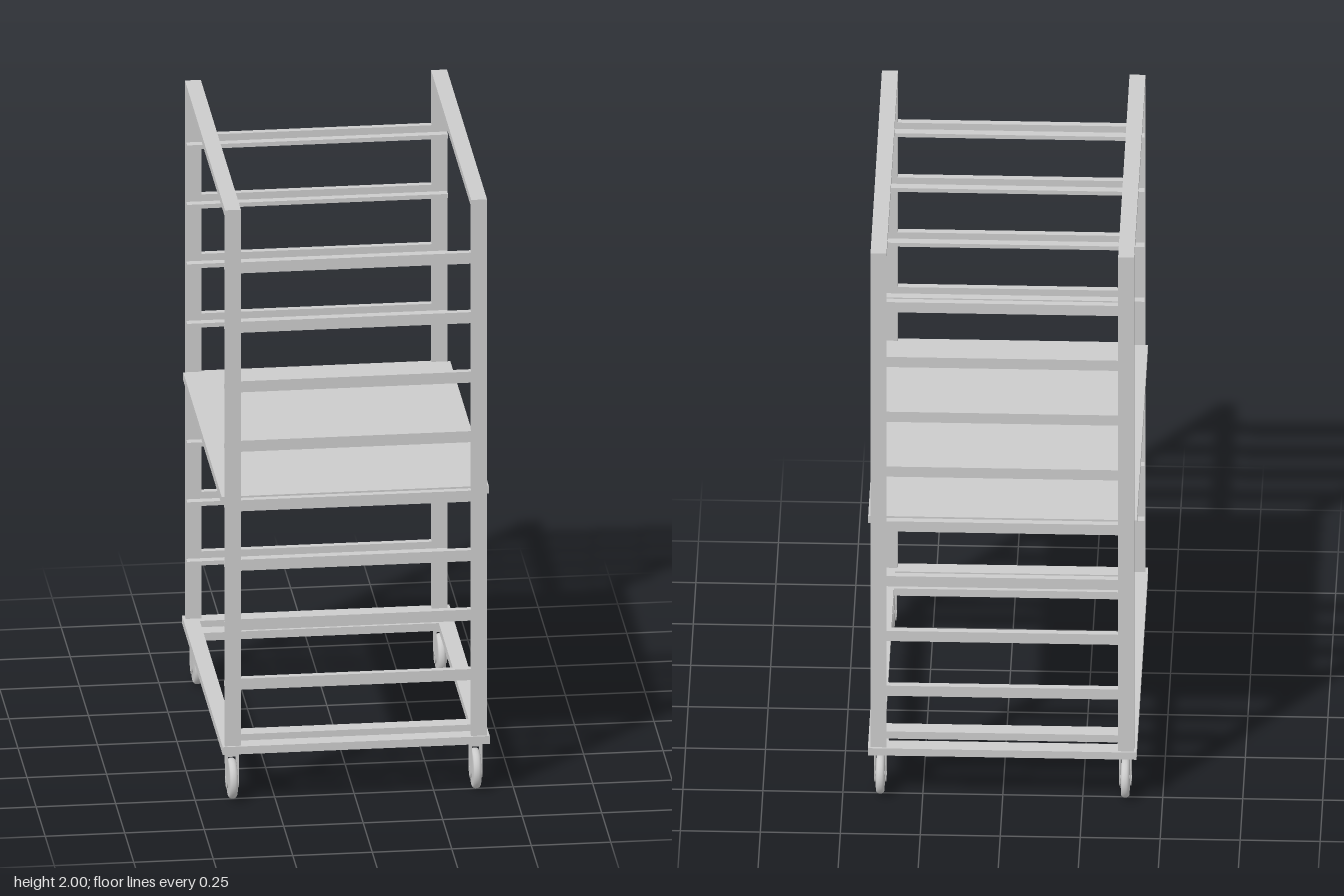
import * as THREE from 'three';

const material = new THREE.MeshStandardMaterial({ color: 0xcccccc });

function add(parent, name, geometry, x = 0, y = 0, z = 0) {
  const mesh = new THREE.Mesh(geometry, material);
  mesh.name = name;
  mesh.position.set(x, y, z);
  parent.add(mesh);
  return mesh;
}

// Box given by its limits on each axis
function block(parent, name, [x0, x1], [y0, y1], [z0, z1]) {
  const geometry = new THREE.BoxGeometry(x1 - x0, y1 - y0, z1 - z0);
  return add(parent, name, geometry, (x0 + x1) / 2, (y0 + y1) / 2, (z0 + z1) / 2);
}

// Limits mirrored to the side given by sign
const side = (sign, a, b) => (sign > 0 ? [a, b] : [-b, -a]);

function createCaster() {
  const caster = new THREE.Group();
  caster.name = 'caster';
  block(caster, 'mountingPlate', [-0.025, 0.025], [0.163, 0.172], [-0.05, 0.05]);
  add(caster, 'swivel', new THREE.CylinderGeometry(0.018, 0.018, 0.012, 24), 0, 0.158, 0);
  block(caster, 'forkCrown', [-0.019, 0.019], [0.148, 0.156], [-0.031, 0.031]);

  // Fork cheek, tapering to a rounded end around the axle
  const cheek = new THREE.Shape();
  cheek.moveTo(0.031, 0.152);
  cheek.lineTo(0.031, 0.062);
  cheek.absarc(0.004, 0.062, 0.027, 0, -Math.PI, true);
  cheek.lineTo(-0.031, 0.11);
  cheek.lineTo(-0.031, 0.152);
  const cheekGeometry = new THREE.ExtrudeGeometry(cheek, { depth: 0.004, bevelEnabled: false, curveSegments: 16 });
  cheekGeometry.rotateY(-Math.PI / 2);
  add(caster, 'forkCheek', cheekGeometry, 0.019, 0, 0);
  add(caster, 'forkCheek', cheekGeometry, -0.015, 0, 0);

  // Wheel with softened tread edges
  const profile = [[0, -0.013], [0.056, -0.013], [0.061, -0.01], [0.064, -0.004],
    [0.064, 0.004], [0.061, 0.01], [0.056, 0.013], [0, 0.013]].map(([r, h]) => new THREE.Vector2(r, h));
  const wheel = new THREE.LatheGeometry(profile, 40);
  wheel.rotateZ(Math.PI / 2);
  add(caster, 'wheel', wheel, 0, 0.064, 0);
  const axle = new THREE.CylinderGeometry(0.007, 0.007, 0.04, 16);
  axle.rotateZ(Math.PI / 2);
  add(caster, 'axle', axle, 0, 0.064, 0);
  return caster;
}

export function createModel() {
  const rack = new THREE.Group();
  rack.name = 'trayRack';

  // Base frame with extra cross bars carrying the casters
  const base = new THREE.Group();
  base.name = 'baseFrame';
  rack.add(base);
  const baseY = [0.172, 0.198];
  for (const s of [-1, 1]) {
    block(base, 'baseSideBeam', side(s, 0.37, 0.42), baseY, [-0.56, 0.56]);
    block(base, 'baseEndBeam', [-0.37, 0.37], baseY, side(s, 0.51, 0.56));
    block(base, 'casterCrossBar', [-0.37, 0.37], baseY, side(s, 0.407, 0.457));
  }

  // Side frames: two posts joined by a top bar, with a caster below each post
  for (const sx of [-1, 1]) {
    const frame = new THREE.Group();
    frame.name = 'sideFrame';
    rack.add(frame);
    block(frame, 'topBar', side(sx, 0.362, 0.412), [1.976, 2], [-0.553, 0.553]);
    for (const sz of [-1, 1]) {
      block(frame, 'post', side(sx, 0.362, 0.412), [0.198, 1.976], side(sz, 0.532, 0.553));
      const caster = createCaster();
      caster.position.set(sx * 0.383, 0, sz * 0.487);
      rack.add(caster);
    }
  }

  // Angle rails across the front and back, each with an inward ledge
  for (let i = 0; i < 8; i++) {
    const y = 0.386 + i * 0.2;
    for (const s of [-1, 1]) {
      const rail = new THREE.Group();
      rail.name = 'angleRail';
      rack.add(rail);
      block(rail, 'railWeb', [-0.362, 0.362], [y, y + 0.037], side(s, 0.532, 0.553));
      block(rail, 'railLedge', [-0.41, 0.41], [y, y + 0.014], side(s, 0.506, 0.532));
    }
  }

  // Shelf resting on the middle ledges
  block(rack, 'shelf', [-0.42, 0.42], [1.001, 1.028], [-0.53, 0.53]);
  return rack;
}
